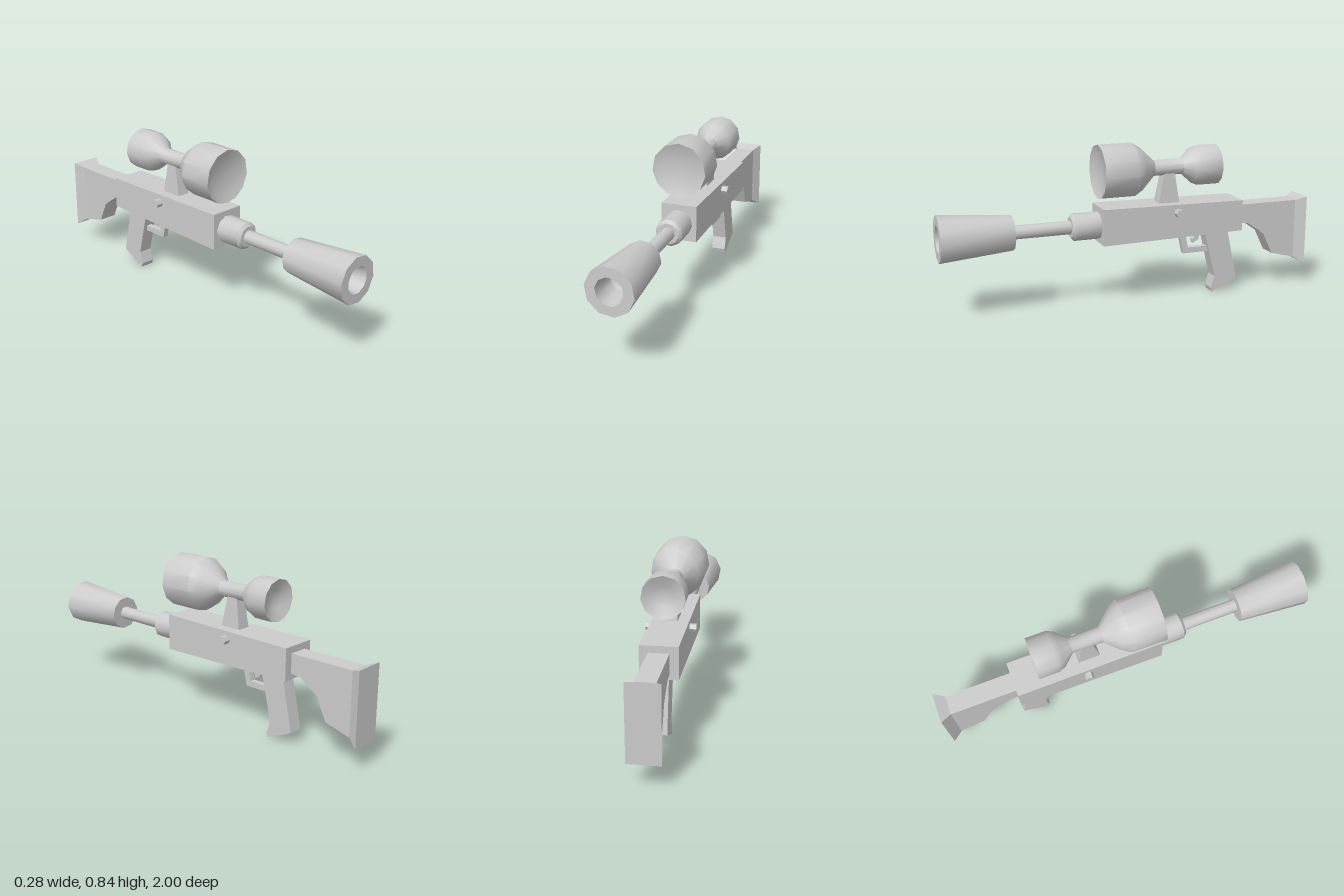
import * as THREE from 'three';
import { toCreasedNormals } from 'three/addons/utils/BufferGeometryUtils.js';

const material = new THREE.MeshStandardMaterial({ color: 0xcccccc });

export function createModel() {
  const group = new THREE.Group();

  const add = (name, geometry) => {
    const mesh = new THREE.Mesh(geometry, material);
    mesh.name = name;
    group.add(mesh);
    return mesh;
  };

  // Side outline given as [z, y], extruded symmetrically across x
  const slab = (outline, halfWidth) => {
    const shape = new THREE.Shape(outline.map(([z, y]) => new THREE.Vector2(z, y)));
    const g = new THREE.ExtrudeGeometry(shape, { depth: halfWidth * 2, bevelEnabled: false });
    return g.translate(0, 0, -halfWidth).rotateY(-Math.PI / 2);
  };

  // Profile given as [z, radius] from back to front, turned about the z axis
  const turned = (profile, sides, phase = 0) => {
    const points = profile.map(([z, r]) => new THREE.Vector2(r, z));
    return new THREE.LatheGeometry(points, sides, Math.PI + phase).rotateX(Math.PI / 2);
  };

  // Move every vertex by a rule
  const reshape = (g, rule) => {
    const p = g.attributes.position;
    const v = new THREE.Vector3();
    for (let i = 0; i < p.count; i++) {
      rule(v.fromBufferAttribute(p, i));
      p.setXYZ(i, v.x, v.y, v.z);
    }
    g.computeVertexNormals();
    return g;
  };

  const crease = (g) => toCreasedNormals(g, 0.72);
  const boreY = 0.427;
  const scopeY = 0.704;

  // Main body
  add('receiver', slab([[0.18, 0.335], [0.18, 0.525], [-0.6, 0.515], [-0.6, 0.35]], 0.093));

  // Front assembly
  add('collar', crease(turned(
    [[0.17, 0], [0.17, 0.071], [0.315, 0.071], [0.33, 0.055], [0.33, 0]], 10, 0.175)))
    .position.y = boreY;
  add('barrel', crease(turned(
    [[0.32, 0], [0.32, 0.035], [0.66, 0.035], [0.66, 0]], 10, 0.175)))
    .position.y = boreY;
  add('muzzle', crease(turned(
    [[0.63, 0], [0.63, 0.089], [1, 0.12], [1, 0.069], [0.87, 0.055], [0.84, 0]], 10, 0.175)))
    .position.y = boreY;

  // Scope: wide front bell, thin tube, small eyepiece, both ends dished
  const scope = turned([
    [-0.44, 0], [-0.45, 0.05], [-0.475, 0.107],
    [-0.37, 0.107], [-0.335, 0.092], [-0.28, 0.042],
    [-0.12, 0.042], [-0.045, 0.113], [0, 0.14],
    [0.18, 0.14], [0.165, 0.1], [0.155, 0],
  ], 12);
  // Slightly uneven spacing of the sides
  reshape(scope, (v) => {
    const r = Math.hypot(v.x, v.y);
    const a = Math.atan2(v.x, v.y);
    const b = a + 0.1 * (Math.sin(a) - 0.3 * Math.sin(2 * a));
    v.x = r * Math.sin(b);
    v.y = r * Math.cos(b);
  });
  add('scope', crease(scope)).position.y = scopeY;

  // Scope mount, narrowing upward
  const mount = slab([[-0.14, 0.51], [-0.176, 0.69], [-0.23, 0.69], [-0.258, 0.51]], 1);
  add('scopeMount', reshape(mount, (v) => { v.x *= v.y > 0.6 ? 0.028 : 0.037; }));

  // Side knobs
  for (const [name, side] of [['leftKnob', 1], ['rightKnob', -1]]) {
    const knob = new THREE.CylinderGeometry(0.022, 0.022, 0.05, 6).rotateZ(Math.PI / 2);
    add(name, crease(knob)).position.set(side * 0.102, 0.478, -0.226);
  }

  // Stock and its flared butt plate
  add('stock', slab([
    [-0.59, 0.48], [-0.945, 0.48], [-0.945, 0.155], [-0.81, 0.19],
    [-0.755, 0.305], [-0.655, 0.375], [-0.59, 0.38],
  ], 0.05));
  const butt = new THREE.BoxGeometry(2, 2, 2);
  add('buttPlate', reshape(butt, (v) => {
    const back = v.z < 0;
    v.set(
      v.x * (back ? 0.08 : 0.05),
      v.y > 0 ? (back ? 0.5 : 0.48) : (back ? 0.12 : 0.155),
      back ? -1 : -0.945,
    );
  }));

  // Grip, trigger and guard
  add('grip', slab([
    [-0.405, 0.36], [-0.47, 0.09], [-0.45, 0.025], [-0.457, 0.003],
    [-0.6, 0.068], [-0.538, 0.36],
  ], 0.038));
  add('triggerGuard', slab([
    [-0.265, 0.36], [-0.294, 0.23], [-0.445, 0.23], [-0.445, 0.26],
    [-0.32, 0.26], [-0.298, 0.36],
  ], 0.015));
  add('trigger', slab([
    [-0.36, 0.36], [-0.362, 0.325], [-0.346, 0.305], [-0.348, 0.283],
    [-0.378, 0.3], [-0.398, 0.36],
  ], 0.015));

  return group;
}
